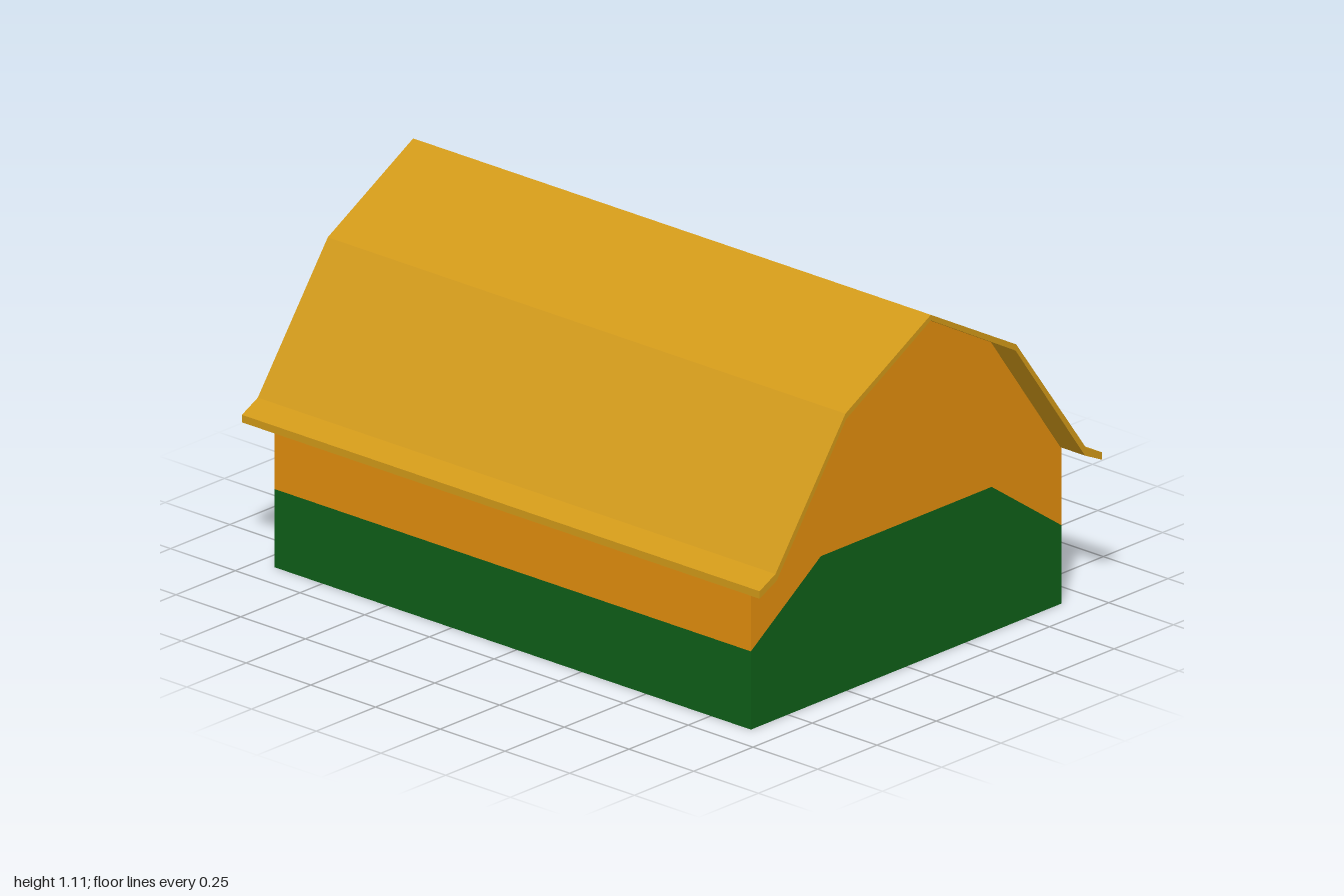
import * as THREE from 'three';

const paint = (color) => new THREE.MeshStandardMaterial({ color, flatShading: true, side: THREE.DoubleSide });

export function createModel() {
  const barn = new THREE.Group();
  const orange = paint(0xe08c0d), green = paint(0x0e5e18), ochre = paint(0xd09818), black = paint(0x080808);
  const W = 0.655, FRONT = 0.905, BACK = -0.935, T = 0.03, DOOR = 0.36, DOOR_TOP = 0.445, SIDE = 0.24;

  const add = (name, geometry, material) => {
    const mesh = new THREE.Mesh(geometry, material);
    mesh.name = name;
    barn.add(mesh);
    return mesh;
  };
  const box = (name, x0, x1, y0, y1, z0, z1, material) =>
    add(name, new THREE.BoxGeometry(x1 - x0, y1 - y0, z1 - z0), material)
      .position.set((x0 + x1) / 2, (y0 + y1) / 2, (z0 + z1) / 2);
  // Extrudes an outline of [x, y] corners from z0 to z1
  const slab = (name, points, z0, z1, material) => {
    const shape = new THREE.Shape(points.map(([x, y]) => new THREE.Vector2(x, y)));
    const geometry = new THREE.ExtrudeGeometry(shape, { depth: z1 - z0, bevelEnabled: false });
    add(name, geometry.translate(0, 0, z0), material);
  };
  const mirrored = (points) => points.map(([x, y]) => [-x, y]).reverse();

  // Gambrel roof: one bent sheet with flared eaves
  const top = [[0, 1.105], [0.36, 0.908], [W, 0.503], [0.722, 0.47]];
  const under = [[0, 1.088], [0.357, 0.89], [0.65, 0.481], [0.722, 0.447]];
  slab('roof', [...mirrored(top), ...top.slice(1), ...[...under].reverse(), ...mirrored(under).reverse().slice(1)],
    -1, 1, ochre);

  // Gable ends: orange upper part above a green base
  const gable = [[-W, SIDE], [-DOOR, DOOR_TOP], [DOOR, DOOR_TOP], [W, SIDE],
    [W, 0.485], [0.358, 0.892], [0, 1.09], [-0.358, 0.892], [-W, 0.485]];
  slab('frontGable', gable, FRONT - T, FRONT, orange);
  slab('backGable', gable, BACK, BACK + T, orange);
  slab('frontBase', [[-W, 0], [W, 0], [W, SIDE], [DOOR, DOOR_TOP], [-DOOR, DOOR_TOP], [-W, SIDE]],
    FRONT - T, FRONT, green);

  // Back base panels, either side of the doorway
  const panel = [[DOOR, 0], [W, 0], [W, SIDE], [DOOR, DOOR_TOP]];
  slab('backBaseLeft', panel, BACK, BACK + T, green);
  slab('backBaseRight', mirrored(panel), BACK, BACK + T, green);

  // Long side walls and door jambs
  for (const [side, s] of [['left', 1], ['right', -1]]) {
    const span = (a, b) => (s > 0 ? [a, b] : [-b, -a]);
    box(side + 'WallBase', ...span(W - 0.02, W), 0, SIDE, BACK + T, FRONT - T, green);
    box(side + 'WallUpper', ...span(W - 0.02, W), SIDE, 0.485, BACK + T, FRONT - T, orange);
    box(side + 'DoorJamb', ...span(DOOR - 0.012, DOOR + 0.012), 0.015, DOOR_TOP, BACK + T, BACK + 2 * T, black);
  }

  // Floor, door sill and header
  box('floor', -W + 0.02, W - 0.02, 0, 0.015, BACK + 2 * T, FRONT - T, green);
  box('doorSill', -W + 0.02, W - 0.02, 0, 0.015, BACK + T, BACK + 2 * T, black);
  box('doorHeader', -DOOR, DOOR, DOOR_TOP - 0.015, DOOR_TOP + 0.01, BACK + T, BACK + 2 * T, black);
  return barn;
}
